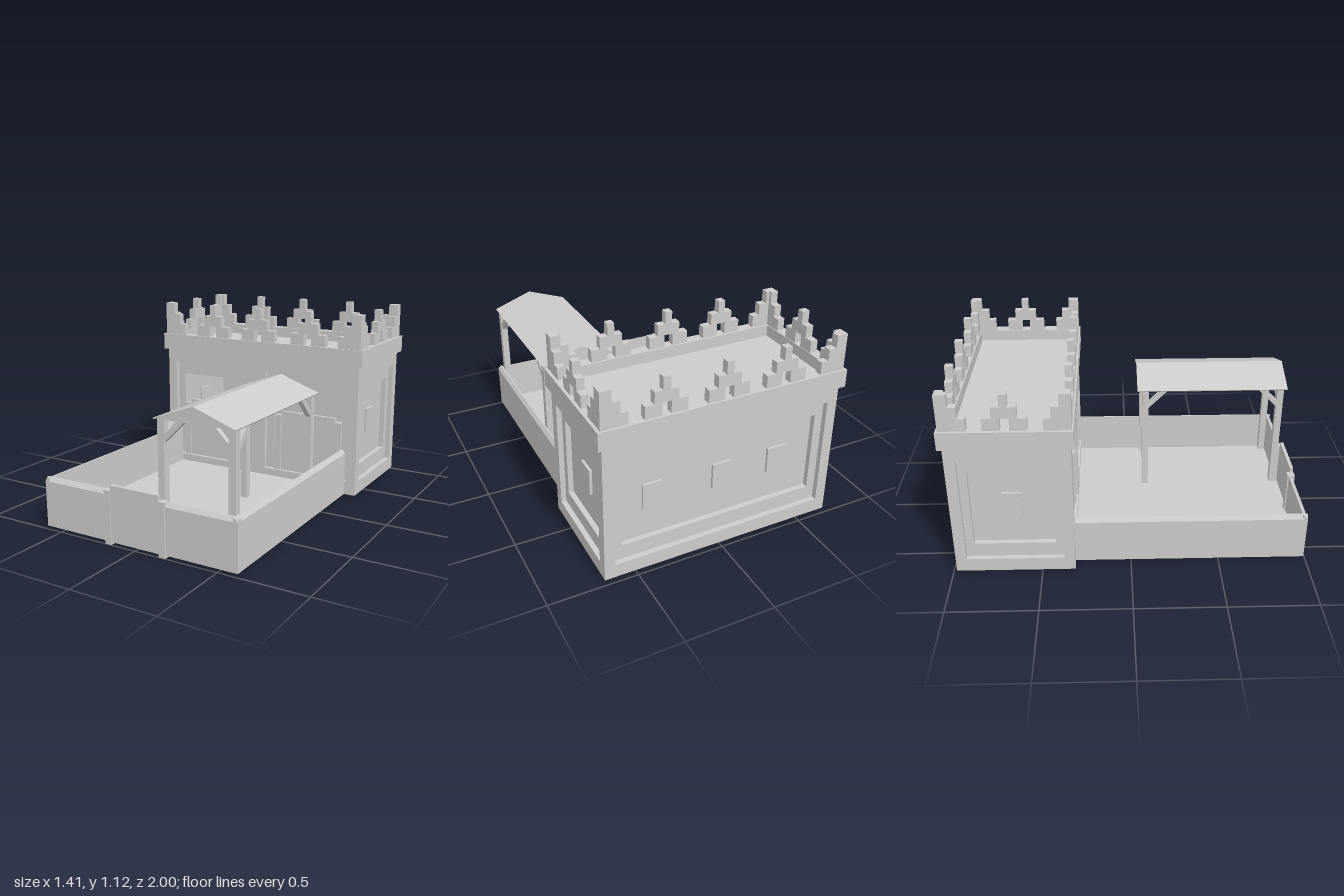
import * as THREE from 'three';

const mat = new THREE.MeshStandardMaterial({ color: 0xcccccc, flatShading: true, side: THREE.DoubleSide });

function add(parent, geo, name) {
  const mesh = new THREE.Mesh(geo, mat);
  mesh.name = name;
  parent.add(mesh);
  return mesh;
}

// Box given by its limits on each axis
function box(parent, name, x0, x1, y0, y1, z0, z1) {
  const geo = new THREE.BoxGeometry(x1 - x0, y1 - y0, z1 - z0);
  geo.translate((x0 + x1) / 2, (y0 + y1) / 2, (z0 + z1) / 2);
  return add(parent, geo, name);
}

function polygon(pts) {
  return new THREE.Shape(pts.map(p => new THREE.Vector2(p[0], p[1])));
}
const rect = (x0, x1, y0, y1) => polygon([[x0, y0], [x1, y0], [x1, y1], [x0, y1]]);

function extrude(shape, depth) {
  return new THREE.ExtrudeGeometry(shape, { depth, bevelEnabled: false });
}

// Wall facing +z at z = 0, with openings stepping inwards twice
const step = 0.03;
function steppedWall(half, bays, closed) {
  const wall = new THREE.Group();
  [0, 1].forEach(i => {
    const shape = rect(-half, half, 0.015, 0.815);
    bays.forEach(([a, b]) => shape.holes.push(i === 0
      ? rect(a, b, 0.095, 0.73)
      : rect(a + 0.05, b - 0.05, 0.18, 0.65)));
    const mesh = add(wall, extrude(shape, step), i === 0 ? 'outerFrame' : 'innerFrame');
    mesh.position.z = -step * (i + 1);
  });
  if (closed) box(wall, 'wallPanel', -half + 0.06, half - 0.06, 0.09, 0.74, -2 * step - 0.01, -2 * step);
  return wall;
}

function windows(wall, xs) {
  xs.forEach(x => box(wall, 'window', x - 0.055, x + 0.055, 0.35, 0.5, -2 * step - 0.02, -2 * step + 0.015));
}

// Stepped battlement with a gap at its foot, centred on x = 0
function merlonShape() {
  return polygon([
    [-0.115, 0], [-0.025, 0], [-0.025, 0.07], [0.025, 0.07], [0.025, 0], [0.115, 0],
    [0.115, 0.07], [0.065, 0.07], [0.065, 0.135], [0.02, 0.135], [0.02, 0.205],
    [-0.02, 0.205], [-0.02, 0.135], [-0.065, 0.135], [-0.065, 0.07], [-0.115, 0.07]]);
}

function createBuilding() {
  const g = new THREE.Group();
  g.name = 'gatehouse';
  const cz = -0.646, top = 0.917;

  const front = steppedWall(0.68, [[-0.62, -0.053], [0.055, 0.622]], false);
  front.position.z = -0.314;
  front.name = 'frontWall';
  const back = steppedWall(0.68, [[-0.62, 0.62]], true);
  back.position.z = -0.979;
  back.rotation.y = Math.PI;
  back.name = 'backWall';
  windows(back, [-0.388, 0.015, 0.352]);
  g.add(front, back);
  [1, -1].forEach(s => {
    const side = steppedWall(0.332, [[-0.277, 0.277]], true);
    side.position.set(s * 0.68, 0, cz);
    side.rotation.y = s * Math.PI / 2;
    side.name = 'sideWall';
    windows(side, [0]);
    g.add(side);
  });
  box(g, 'roofDeck', -0.66, 0.66, 0.815, 0.85, -0.96, -0.34);

  // Parapet ring
  const ring = rect(-0.705, 0.705, -0.3515, 0.3515);
  ring.holes.push(rect(-0.64, 0.64, -0.288, 0.288));
  const ringGeo = extrude(ring, top - 0.815);
  ringGeo.rotateX(-Math.PI / 2);
  add(g, ringGeo, 'parapet').position.set(0, 0.815, cz - 0.002);

  // Battlements along each edge
  const t = 0.043;
  [-0.987, -0.349].forEach(z => [-0.33, 0.002, 0.345].forEach(x => {
    add(g, extrude(merlonShape(), t), 'battlement').position.set(x, top, z);
  }));
  [-0.687, 0.645].forEach(x => {
    const geo = extrude(merlonShape(), t);
    geo.rotateY(Math.PI / 2);
    add(g, geo, 'battlement').position.set(x, top, cz);
  });

  // Stepped L-shaped corners
  const stairs = polygon([[0, 0], [0.145, 0], [0.145, 0.07], [0.105, 0.07], [0.105, 0.135],
    [0.062, 0.135], [0.062, 0.205], [0, 0.205]]);
  [1, -1].forEach(sx => [1, -1].forEach(sz => {
    const corner = new THREE.Group();
    corner.name = 'cornerBattlement';
    const across = add(corner, extrude(stairs, t), 'cornerStepsAcross');
    across.rotation.y = sx > 0 ? Math.PI : 0;
    across.position.z = sx > 0 ? (sz > 0 ? 0 : t) : (sz > 0 ? -t : 0);
    const along = add(corner, extrude(stairs, t), 'cornerStepsAlong');
    along.rotation.y = sz > 0 ? Math.PI / 2 : -Math.PI / 2;
    along.position.x = sz > 0 ? (sx > 0 ? -t : 0) : (sx > 0 ? 0 : t);
    corner.position.set(sx * 0.688, top, cz + sz * 0.341);
    g.add(corner);
  }));

  // Half-height doors set inside the two bays
  [-0.337, 0.346].forEach(x => {
    box(g, 'bayDoor', x - 0.183, x + 0.183, 0.05, 0.48, -0.355, -0.335);
    [-1, 1].forEach(s => {
      const px = x + s * 0.205;
      box(g, 'doorPost', px - 0.022, px + 0.022, 0.03, 0.455, -0.365, -0.325);
    });
  });
  return g;
}

// Low wall with a chamfered outer top edge, running along +z with its outside at x = 0
function lowWall(length) {
  return extrude(polygon([[0, 0.015], [0, 0.275], [-0.018, 0.297], [-0.027, 0.297], [-0.027, 0.015]]), length);
}

function createYard() {
  const g = new THREE.Group();
  g.name = 'yard';
  box(g, 'yardFloor', -0.59, 0.6, 0.035, 0.05, -0.33, 0.98);
  add(g, lowWall(1.305), 'leftYardWall').position.set(0.611, 0, -0.314);
  const right = lowWall(1.305);
  right.rotateY(Math.PI);
  add(g, right, 'rightYardWall').position.set(-0.604, 0, 0.991);
  [[-0.604, -0.19], [0.19, 0.611]].forEach(([x0, x1]) => {
    const geo = lowWall(x1 - x0);
    geo.rotateY(-Math.PI / 2);
    add(g, geo, 'frontYardWall').position.set(x1, 0, 0.991);
  });
  box(g, 'frontGate', -0.155, 0.152, 0.015, 0.33, 0.975, 0.995);
  [-0.173, 0.171].forEach(x => box(g, 'gatePost', x - 0.02, x + 0.02, 0, 0.3, 0.957, 1));
  return g;
}

// Diagonal brace from a post up to the roof
function brace(parent, x, z, angle) {
  const geo = extrude(polygon([[0, 0.6], [0, 0.64], [0.085, 0.725], [0.125, 0.725]]), 0.03);
  geo.translate(0, 0, -0.015);
  const mesh = add(parent, geo, 'brace');
  mesh.rotation.y = angle;
  mesh.position.set(x, 0, z);
}

function createCanopy() {
  const g = new THREE.Group();
  g.name = 'canopy';
  [0.152, 0.562].forEach((x, i) => [0.11, 0.94].forEach((z, j) => {
    box(g, 'canopyPost', x - 0.02, x + 0.02, 0.02, 0.725, z - 0.02, z + 0.02);
    brace(g, x + (i ? -0.02 : 0.02), z, i ? Math.PI : 0);
    brace(g, x, z + (j ? -0.02 : 0.02), j ? Math.PI / 2 : -Math.PI / 2);
  }));
  // Gabled roof with slightly overhanging slabs
  const gable = polygon([[0.14, 0.72], [0.572, 0.72], [0.572, 0.728], [0.356, 0.8], [0.14, 0.728]]);
  add(g, extrude(gable, 0.9), 'gable').position.z = 0.07;
  const slabs = polygon([[0.12, 0.724], [0.125, 0.717], [0.356, 0.795], [0.587, 0.717],
    [0.593, 0.724], [0.356, 0.808]]);
  add(g, extrude(slabs, 0.92), 'canopyRoof').position.z = 0.06;
  return g;
}

export function createModel() {
  const model = new THREE.Group();
  model.name = 'gatehouseWithYard';
  model.add(createBuilding(), createYard(), createCanopy());
  return model;
}
